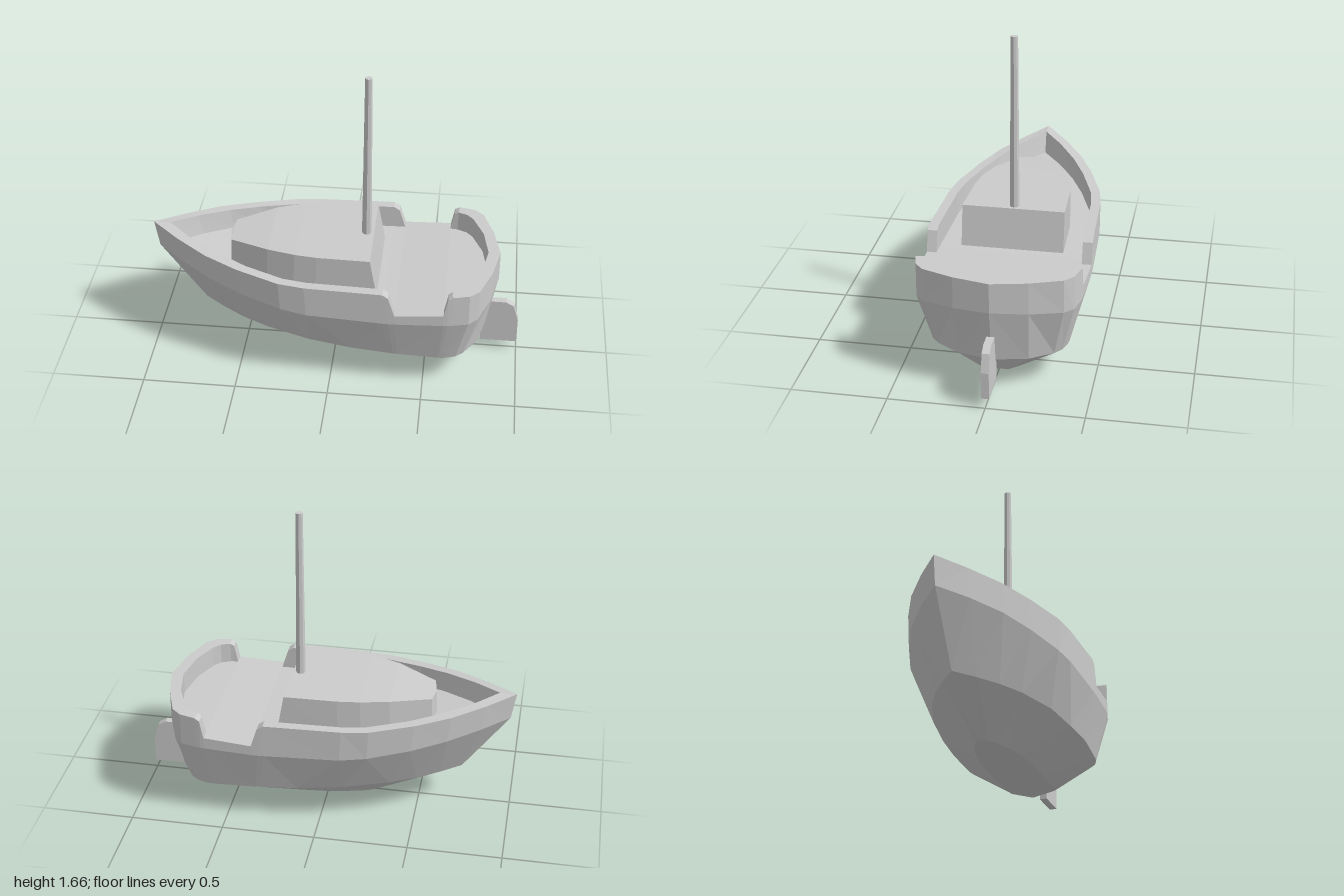
import * as THREE from 'three';

const material = new THREE.MeshStandardMaterial({ color: 0xcccccc, flatShading: true });

// Skin rows of [x, y, z] points on the +z half, then mirror across z = 0.
function loftMirrored(rows) {
  const pos = [];
  const tri = (a, b, c) => {
    const [A, B, C] = [a, b, c].map((p) => new THREE.Vector3(...p));
    if (B.clone().sub(A).cross(C.clone().sub(A)).length() < 1e-7) return;
    pos.push(...a, ...b, ...c);
    for (const p of [a, c, b]) pos.push(p[0], p[1], -p[2]);
  };
  for (let i = 0; i < rows.length - 1; i++) {
    for (let j = 0; j < rows[i].length - 1; j++) {
      const a = rows[i][j], b = rows[i][j + 1];
      const c = rows[i + 1][j + 1], d = rows[i + 1][j];
      tri(a, b, c);
      tri(a, c, d);
    }
  }
  const g = new THREE.BufferGeometry();
  g.setAttribute('position', new THREE.Float32BufferAttribute(pos, 3));
  g.computeVertexNormals();
  return g;
}

function part(name, geometry) {
  const mesh = new THREE.Mesh(geometry, material);
  mesh.name = name;
  return mesh;
}

// Stations run from the stem (-x) along the side to the middle of the stern.
function hullGeometry() {
  const rim = [
    [-1, 0.70, 0], [-0.85, 0.682, 0.12], [-0.68, 0.664, 0.235], [-0.5, 0.648, 0.32],
    [-0.27, 0.633, 0.4], [-0.13, 0.63, 0.42], [0.28, 0.63, 0.435], [0.31, 0.61, 0.436],
    [0.345, 0.5, 0.436], [0.6, 0.515, 0.427], [0.62, 0.615, 0.425], [0.645, 0.63, 0.42],
    [0.73, 0.632, 0.4], [0.78, 0.632, 0.355], [0.84, 0.632, 0.19], [0.88, 0.632, 0],
  ];
  const mid = [
    [-0.975, 0.55, 0], [-0.83, 0.535, 0.12], [-0.66, 0.515, 0.235], [-0.48, 0.49, 0.32],
    [-0.26, 0.465, 0.395], [-0.12, 0.455, 0.42], [0.28, 0.445, 0.435], [0.31, 0.445, 0.436],
    [0.345, 0.445, 0.436], [0.6, 0.45, 0.427], [0.62, 0.45, 0.425], [0.645, 0.45, 0.42],
    [0.73, 0.45, 0.4], [0.775, 0.45, 0.355], [0.84, 0.46, 0.19], [0.88, 0.47, 0],
  ];
  const chine = [
    [-0.73, 0.215, 0], [-0.62, 0.216, 0.085], [-0.5, 0.217, 0.165], [-0.36, 0.217, 0.235],
    [-0.12, 0.212, 0.315], [0.12, 0.2, 0.35], [0.32, 0.196, 0.367], [0.34, 0.195, 0.368],
    [0.36, 0.194, 0.368], [0.58, 0.18, 0.36], [0.6, 0.179, 0.357], [0.62, 0.178, 0.353],
    [0.67, 0.177, 0.335], [0.71, 0.176, 0.3], [0.785, 0.175, 0.18], [0.825, 0.175, 0],
  ];
  const bilge = [
    [-0.29, 0.02, 0], [-0.27, 0.022, 0.03], [-0.22, 0.024, 0.06], [-0.12, 0.028, 0.09],
    [0, 0.03, 0.115], [0.12, 0.03, 0.125], [0.32, 0.03, 0.13], [0.34, 0.03, 0.13],
    [0.36, 0.03, 0.13], [0.53, 0.034, 0.13], [0.55, 0.035, 0.13], [0.57, 0.036, 0.13],
    [0.62, 0.04, 0.125], [0.66, 0.05, 0.11], [0.72, 0.064, 0.07], [0.745, 0.075, 0],
  ];
  const keel = bilge.map(([x]) => {
    const kx = Math.min(x, 0.6);
    return [kx, 0.02 * (0.6 - kx) / 0.89, 0];
  });
  // Inner edge of the bulwark, as [x, z]
  const inner = [
    [-0.91, 0], [-0.78, 0.105], [-0.62, 0.205], [-0.46, 0.28], [-0.25, 0.352], [-0.12, 0.37],
    [0.28, 0.383], [0.31, 0.384], [0.345, 0.384], [0.6, 0.372], [0.62, 0.37], [0.64, 0.367],
    [0.69, 0.345], [0.725, 0.305], [0.785, 0.17], [0.815, 0],
  ];
  const innerRim = inner.map(([x, z], j) => [x, rim[j][1], z]);
  const deck = inner.map(([x, z], j) => {
    const bow = Math.max(0, -x - 0.1);
    const y = 0.5 + 0.1 * bow + (x > 0.345 ? Math.min(0.015, (x - 0.345) * 0.059) : 0);
    return [x + 0.045 * bow, Math.min(y, rim[j][1]), z * (1 - 0.03 * bow)];
  });
  const deckCentre = deck.map(([x, y]) => [x, y, 0]);
  return loftMirrored([keel, bilge, chine, mid, rim, innerRim, deck, deckCentre]);
}

function cabinGeometry() {
  const top = [
    [-0.575, 0.677, 0], [-0.56, 0.68, 0.095], [-0.35, 0.705, 0.2], [-0.2, 0.713, 0.245],
    [-0.08, 0.715, 0.262], [0.2, 0.718, 0.272], [0.2, 0.718, 0],
  ];
  const base = top.map(([x, , z], j) => [j > 4 ? 0.24 : x - 0.008, 0.495, z]);
  const ridge = top.map(([x, y]) => [x, y, 0]);
  return loftMirrored([base, top, ridge]);
}

function rudderGeometry() {
  const outline = [[0.8, 0.055], [1, 0.055], [1, 0.2], [0.972, 0.295], [0.93, 0.32], [0.8, 0.32]];
  const shape = new THREE.Shape(outline.map(([x, y]) => new THREE.Vector2(x, y)));
  return new THREE.ExtrudeGeometry(shape, { depth: 0.04, bevelEnabled: false }).translate(0, 0, -0.02);
}

export function createModel() {
  const boat = new THREE.Group();
  boat.name = 'boat';
  boat.add(part('hull', hullGeometry()));
  boat.add(part('cabin', cabinGeometry()));
  boat.add(part('rudder', rudderGeometry()));

  // Tapered mast standing on the cabin roof
  const mast = part('mast', new THREE.CylinderGeometry(0.019, 0.026, 0.955, 8));
  mast.position.set(0.16, 1.178, 0);
  boat.add(mast);
  return boat;
}
